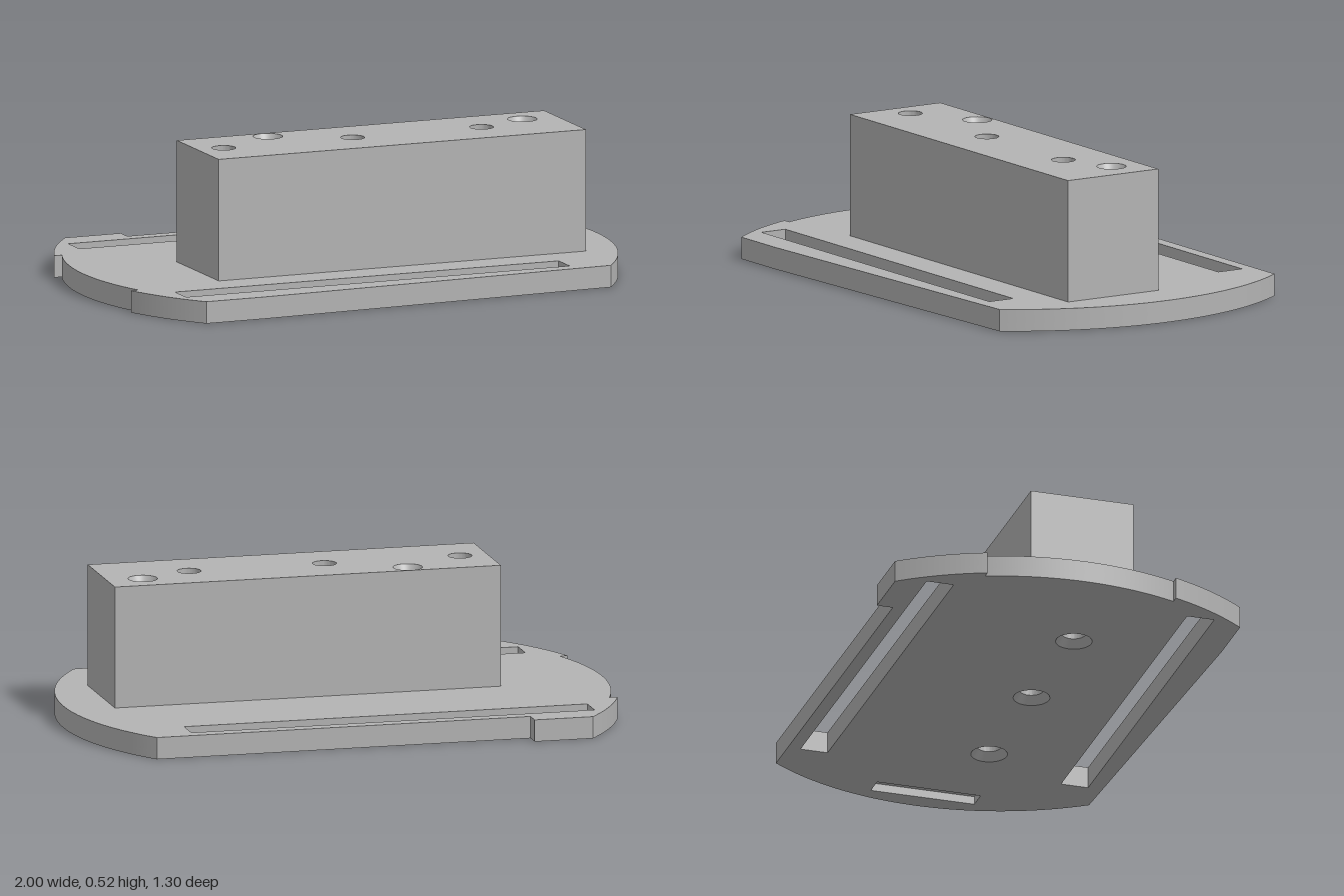
import * as THREE from 'three';
import { toCreasedNormals } from 'three/addons/utils/BufferGeometryUtils.js';

const PLATE_TOP = 0.08, BLOCK_TOP = 0.525;
const SINK = 0.03;    // countersink depth under the plate
const FUNNEL = 0.05;  // countersink depth in the block top
const SCREWS = [[-0.503, 0.117], [0, 0.117], [0.503, 0.117]];
const PINS = [[-0.273, -0.02], [0.696, 0.037]];

// Shapes are drawn with y = -z, then laid flat
function rect(target, x0, x1, z0, z1) {
  target.moveTo(x0, -z1);
  target.lineTo(x1, -z1);
  target.lineTo(x1, -z0);
  target.lineTo(x0, -z0);
  target.closePath();
  return target;
}

function addRoundHoles(shape, centres, radius) {
  for (const [x, z] of centres) {
    shape.holes.push(new THREE.Path().absarc(x, -z, radius, 0, Math.PI * 2, true));
  }
}

// Rounded plate outline with two raised corner tabs at the -x end
function plateShape() {
  const R = 1, T = 1.028, side = 0.59, tab = 0.65, notch = 0.355;
  const a = Math.asin(side / R), n = Math.asin(notch / R);
  const t0 = Math.asin(tab / T), t1 = Math.asin(notch / T);
  const s = new THREE.Shape();
  s.moveTo(-0.58, -side);
  s.absarc(0, 0, R, -a, a, false);
  s.lineTo(-0.58, side);
  s.lineTo(-0.58, tab);
  s.absarc(0, 0, T, Math.PI - t0, Math.PI - t1, false);
  s.absarc(0, 0, R, Math.PI - n, Math.PI + n, false);
  s.absarc(0, 0, T, Math.PI + t1, Math.PI + t0, false);
  s.lineTo(-0.58, -tab);
  s.closePath();
  // long side slots
  s.holes.push(rect(new THREE.Path(), -0.83, 0.667, 0.44, 0.542));
  s.holes.push(rect(new THREE.Path(), -0.83, 0.667, -0.542, -0.44));
  return s;
}

function blockShape() {
  return rect(new THREE.Shape(), -0.604, 0.829, -0.077, 0.31);
}

export function createModel() {
  const group = new THREE.Group();
  const grey = new THREE.MeshStandardMaterial({ color: 0xb3b3b3 });
  grey.name = 'grey';

  function add(name, geometry) {
    const mesh = new THREE.Mesh(geometry, grey);
    mesh.name = name;
    group.add(mesh);
    return mesh;
  }

  function slab(name, shape, y0, y1) {
    const g = new THREE.ExtrudeGeometry(shape, { depth: y1 - y0, bevelEnabled: false, curveSegments: 32 });
    g.rotateX(-Math.PI / 2);
    g.translate(0, y0, 0);
    add(name, toCreasedNormals(g, 0.5));
  }

  // Inward-facing cone lining a countersunk hole
  function cone(name, [x, z], rTop, yTop, rBottom, yBottom) {
    const points = [new THREE.Vector2(rTop, yTop), new THREE.Vector2(rBottom, yBottom)];
    add(name, new THREE.LatheGeometry(points, 64)).position.set(x, 0, z);
  }

  // Plate underside: wide screw openings and a shallow recess at the +x end
  const lower = plateShape();
  addRoundHoles(lower, SCREWS, 0.066);
  lower.holes.push(rect(new THREE.Path(), 0.85, 0.925, -0.195, 0.195));
  slab('plateBottom', lower, 0, SINK);

  const upper = plateShape();
  addRoundHoles(upper, SCREWS, 0.043);
  slab('plateTop', upper, SINK, PLATE_TOP);

  // Block with through screw holes and blind pin holes
  const body = blockShape();
  addRoundHoles(body, SCREWS, 0.043);
  addRoundHoles(body, PINS, 0.027);
  slab('block', body, PLATE_TOP, BLOCK_TOP - FUNNEL);

  const cap = blockShape();
  addRoundHoles(cap, SCREWS, 0.043);
  addRoundHoles(cap, PINS, 0.053);
  slab('blockTop', cap, BLOCK_TOP - FUNNEL, BLOCK_TOP);

  for (const c of SCREWS) cone('screwCountersink', c, 0.043, SINK, 0.066, 0);
  for (const c of PINS) cone('pinCountersink', c, 0.053, BLOCK_TOP, 0.027, BLOCK_TOP - FUNNEL);

  // The screw countersinks face into their holes
  return group;
}
